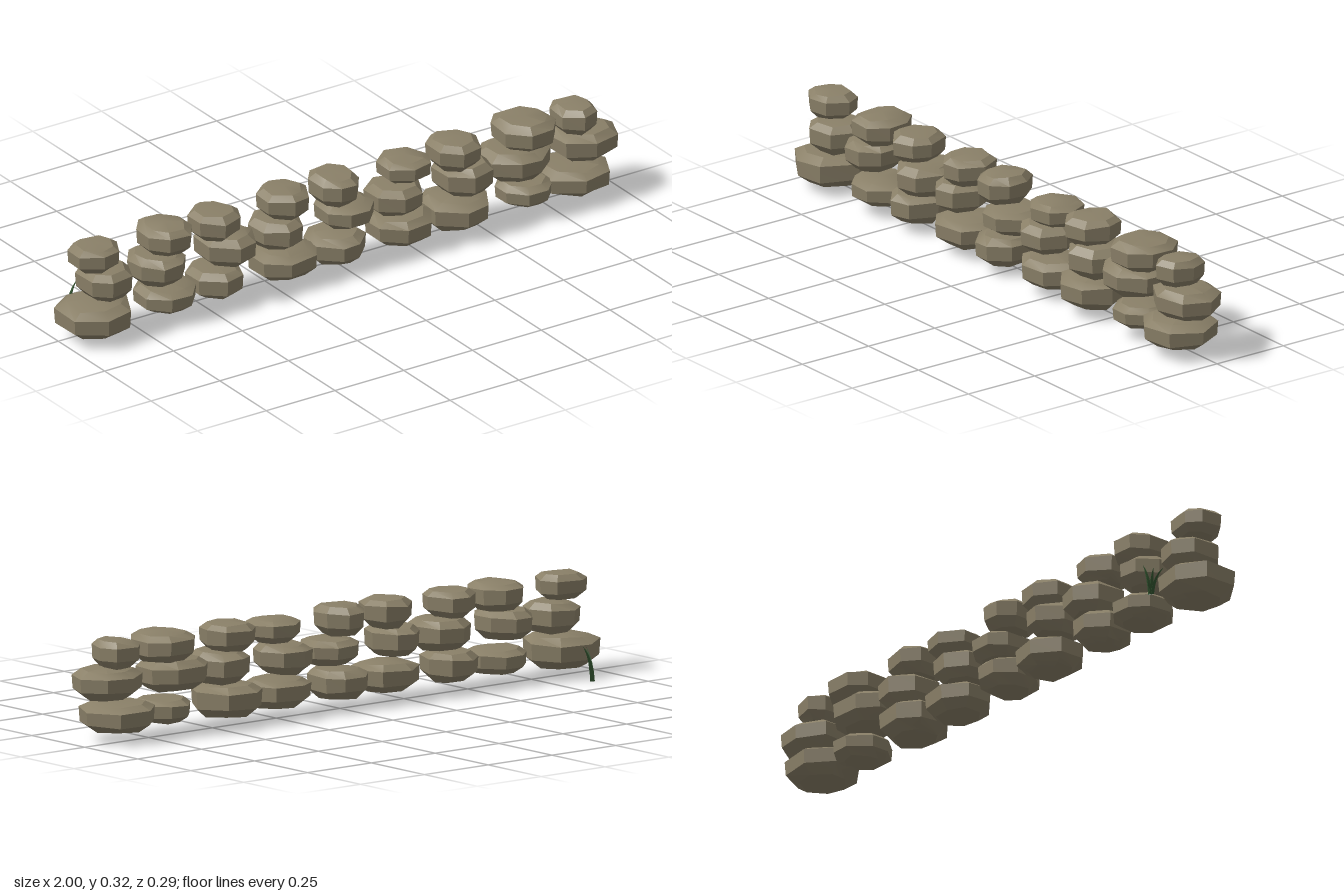
import * as THREE from 'three';
import { toCreasedNormals } from 'three/addons/utils/BufferGeometryUtils.js';

const stoneMat = new THREE.MeshStandardMaterial({ color: 0x8a8068 });
stoneMat.name = 'stone';
const grassMat = new THREE.MeshStandardMaterial({ color: 0x2f4f2c, side: THREE.DoubleSide });
grassMat.name = 'grass';

// small seeded random, returns -1..1
let seed = 7;
function jitter() {
  seed = (seed * 16807) % 2147483647;
  return (seed / 2147483647) * 2 - 1;
}

// stone profile: [height fraction, radius fraction]
const PROFILE = [[0.1, 0.64], [0.35, 0.97], [0.78, 1], [0.94, 0.72]];

// faceted boulder filling the box x0..x1, y0..y1, z0..z1
function stoneGeometry(x0, x1, y0, y1, z0, z1, sides, phase) {
  const plan = [];
  for (let i = 0; i < sides; i++) {
    const a = phase + ((i + 0.12 * jitter()) / sides) * Math.PI * 2;
    plan.push([Math.cos(a), Math.sin(a)]);
  }
  // fit the plan outline to the box
  const fit = (k, lo, hi) => {
    const v = plan.map((p) => p[k]);
    const min = Math.min(...v), max = Math.max(...v);
    plan.forEach((p) => { p[k] = lo + ((p[k] - min) / (max - min)) * (hi - lo); });
  };
  fit(0, x0, x1);
  fit(1, z0, z1);
  const cx = (x0 + x1) / 2, cz = (z0 + z1) / 2, h = y1 - y0;
  const pos = [cx, y0, cz], idx = [];
  PROFILE.forEach(([t, r], k) => {
    for (const [x, z] of plan) {
      const rr = r * (k === 0 || k === 3 ? 1 + 0.06 * jitter() : 1);
      pos.push(cx + (x - cx) * rr, y0 + h * (t + 0.03 * jitter()), cz + (z - cz) * rr);
    }
  });
  pos.push(cx, y1, cz);
  const top = pos.length / 3 - 1;
  const at = (k, i) => 1 + k * sides + (i % sides);
  for (let i = 0; i < sides; i++) {
    idx.push(0, at(0, i), at(0, i + 1));
    for (let k = 0; k < PROFILE.length - 1; k++) {
      idx.push(at(k, i), at(k + 1, i), at(k + 1, i + 1));
      idx.push(at(k, i), at(k + 1, i + 1), at(k, i + 1));
    }
    idx.push(at(3, i), top, at(3, i + 1));
  }
  const g = new THREE.BufferGeometry();
  g.setAttribute('position', new THREE.Float32BufferAttribute(pos, 3));
  g.setIndex(idx);
  return toCreasedNormals(g, 0.45);
}

// per course: [left x, right x, bottom y, top y, half depth]
const COURSES = {
  bottomStone: [
    [-1, -0.765, 0.01, 0.125, 0.113], [-0.725, -0.54, 0.025, 0.113, 0.092], [-0.535, -0.365, 0.02, 0.125, 0.095],
    [-0.305, -0.095, 0.02, 0.122, 0.1], [-0.105, 0.07, 0.02, 0.125, 0.095], [0.12, 0.33, 0.02, 0.122, 0.095],
    [0.32, 0.53, 0.018, 0.128, 0.108], [0.585, 0.755, 0.03, 0.113, 0.09], [0.735, 0.97, 0.022, 0.12, 0.113],
  ],
  middleStone: [
    [-0.93, -0.77, 0.122, 0.23, 0.09], [-0.75, -0.585, 0.125, 0.228, 0.095], [-0.5, -0.32, 0.122, 0.23, 0.103],
    [-0.31, -0.15, 0.125, 0.23, 0.095], [-0.065, 0.105, 0.13, 0.22, 0.09], [0.115, 0.29, 0.122, 0.225, 0.092],
    [0.365, 0.54, 0.122, 0.235, 0.1], [0.53, 0.745, 0.125, 0.233, 0.1], [0.785, 1, 0.125, 0.23, 0.1],
  ],
  topStone: [
    [-0.965, -0.805, 0.222, 0.312, 0.073], [-0.715, -0.555, 0.216, 0.317, 0.088], [-0.53, -0.375, 0.215, 0.312, 0.085],
    [-0.28, -0.12, 0.216, 0.317, 0.085], [-0.09, 0.05, 0.214, 0.318, 0.085], [0.155, 0.32, 0.222, 0.306, 0.085],
    [0.34, 0.5, 0.216, 0.315, 0.088], [0.58, 0.765, 0.216, 0.317, 0.098], [0.79, 0.92, 0.216, 0.313, 0.08],
  ],
};

// curved grass blade with a triangular section tapering to a point
function bladeGeometry(base, mid, tip, width) {
  const curve = new THREE.QuadraticBezierCurve3(base, mid, tip);
  const steps = 4, pos = [], idx = [];
  for (let s = 0; s <= steps; s++) {
    const p = curve.getPoint(s / steps), w = width * (1 - (s / steps) ** 2) + 0.0005;
    for (let j = 0; j < 3; j++) {
      const a = (j / 3) * Math.PI * 2;
      pos.push(p.x + Math.cos(a) * w, p.y, p.z + Math.sin(a) * w);
    }
  }
  for (let s = 0; s < steps; s++) {
    for (let j = 0; j < 3; j++) {
      const a = s * 3 + j, b = s * 3 + ((j + 1) % 3);
      idx.push(a, a + 3, b + 3, a, b + 3, b);
    }
  }
  const g = new THREE.BufferGeometry();
  g.setAttribute('position', new THREE.Float32BufferAttribute(pos, 3));
  g.setIndex(idx);
  return toCreasedNormals(g, 0.5);
}

export function createModel() {
  seed = 7;
  const model = new THREE.Group();
  model.name = 'stoneWall';

  // three courses of nine stacked stones
  for (const [name, stones] of Object.entries(COURSES)) {
    stones.forEach(([x0, x1, y0, y1, hz], i) => {
      const sides = i % 3 === 1 ? 8 : 7;
      const phase = sides === 8 ? Math.PI / 8 : 0;
      const cz = 0.031;
      const mesh = new THREE.Mesh(stoneGeometry(x0, x1, y0, y1, cz - hz, cz + hz, sides, phase), stoneMat);
      mesh.name = name + (i + 1);
      model.add(mesh);
    });
  }

  // grass tuft behind the first stack
  const V = (x, y, z) => new THREE.Vector3(x, y, z);
  const grass = new THREE.Group();
  grass.name = 'grassTuft';
  [
    [V(-0.876, 0, -0.138), V(-0.876, 0.06, -0.132), V(-0.884, 0.095, -0.1), 0.006],
    [V(-0.872, 0, -0.14), V(-0.87, 0.06, -0.136), V(-0.862, 0.098, -0.12), 0.007],
    [V(-0.87, 0, -0.141), V(-0.868, 0.06, -0.145), V(-0.838, 0.108, -0.14), 0.007],
  ].forEach(([base, mid, tip, w], i) => {
    const blade = new THREE.Mesh(bladeGeometry(base, mid, tip, w), grassMat);
    blade.name = 'grassBlade' + (i + 1);
    grass.add(blade);
  });
  model.add(grass);
  return model;
}
